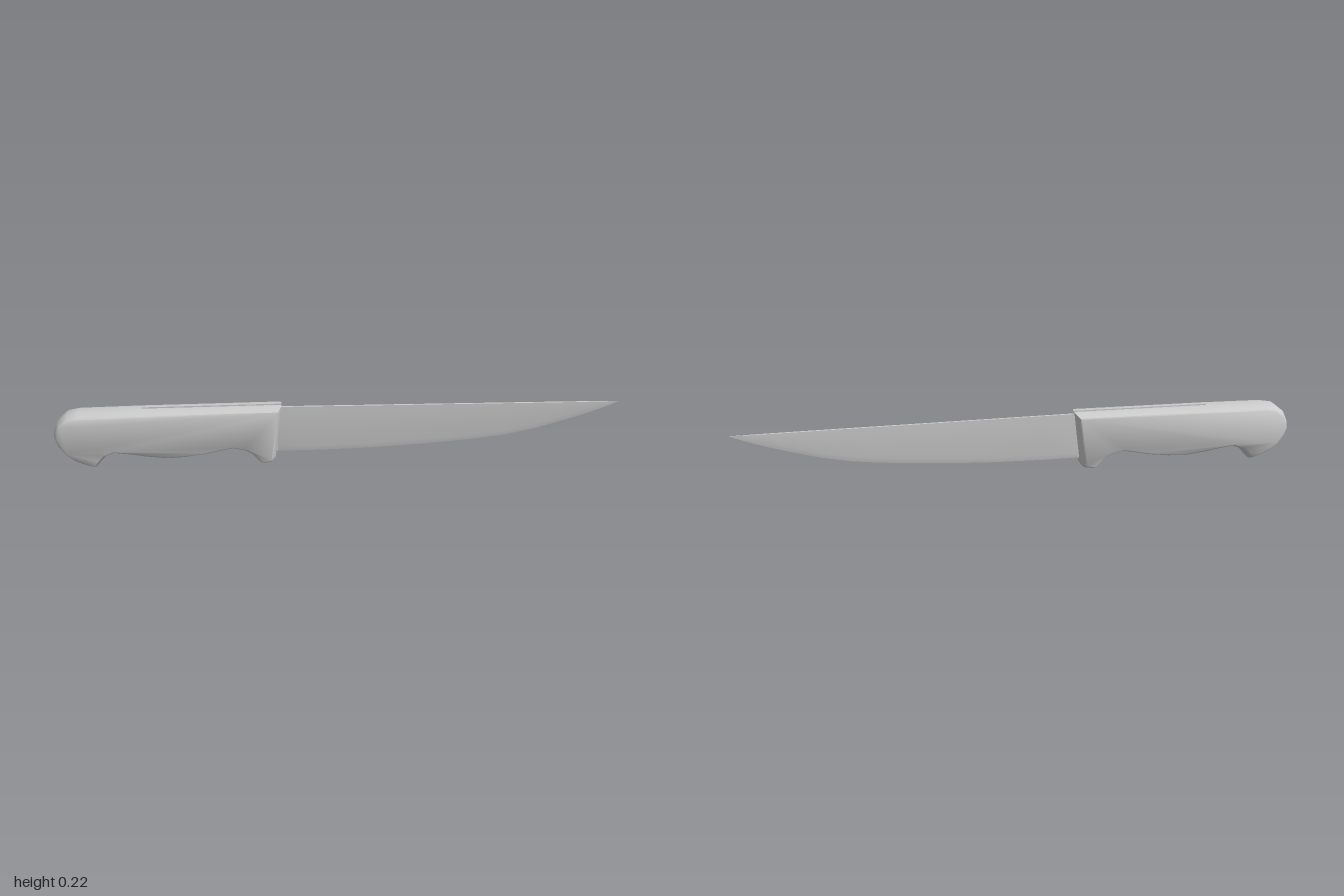
import * as THREE from 'three';
import { toCreasedNormals } from 'three/addons/utils/BufferGeometryUtils.js';

const SLOT = 0.006; // half width of the tang slot

// Handle outline, counter-clockwise from the top front corner
const OUTLINE = [
  [-0.2, 0.219], [-0.69, 0.213], [-0.91, 0.208], [-0.95, 0.201], [-0.983, 0.175], [-0.996, 0.148],
  [-1, 0.12], [-0.99, 0.09], [-0.965, 0.056], [-0.935, 0.031], [-0.9, 0.014], [-0.858, 0.002],
  [-0.838, 0.026], [-0.82, 0.044], [-0.79, 0.056], [-0.74, 0.05], [-0.68, 0.04], [-0.6, 0.032],
  [-0.54, 0.036], [-0.47, 0.046], [-0.375, 0.066], [-0.335, 0.058], [-0.31, 0.045],
  [-0.288, 0.02], [-0.272, 0.006], [-0.235, 0.012], [-0.224, 0.022], [-0.221, 0.04],
].map(([x, y]) => new THREE.Vector2(x, y));

// Move every corner of a closed outline inward by d
function inset(points, d) {
  const n = points.length;
  return points.map((p, i) => {
    const a = p.clone().sub(points[(i + n - 1) % n]).normalize();
    const b = points[(i + 1) % n].clone().sub(p).normalize();
    const na = new THREE.Vector2(-a.y, a.x);
    const m = na.clone().add(new THREE.Vector2(-b.y, b.x)).normalize();
    return p.clone().addScaledVector(m, d / Math.max(0.7, m.dot(na)));
  });
}

function triangleGeometry(positions) {
  const g = new THREE.BufferGeometry();
  g.setAttribute('position', new THREE.Float32BufferAttribute(positions, 3));
  g.computeVertexNormals();
  return g;
}

// One grip half: stacked outlines with a softened outer edge; side is +1 or -1
function gripHalf(side) {
  const layers = [[SLOT, 0], [0.02, 0], [0.045, 0.007], [0.054, 0.011], [0.057, 0.015]];
  const rings = layers.map(([z, d]) => inset(OUTLINE, d).map((p) => [p.x, p.y, z * side]));
  const out = [];
  const tri = (a, b, c) => out.push(...a, ...(side > 0 ? b : c), ...(side > 0 ? c : b));
  const n = OUTLINE.length;
  for (let r = 0; r < rings.length - 1; r++) {
    const lo = rings[r], hi = rings[r + 1];
    for (let i = 0; i < n; i++) {
      const j = (i + 1) % n;
      tri(lo[i], lo[j], hi[j]);
      tri(lo[i], hi[j], hi[i]);
    }
  }
  // outer face and inner slot wall
  const last = rings[rings.length - 1];
  for (const [a, b, c] of THREE.ShapeUtils.triangulateShape(OUTLINE, [])) {
    tri(last[a], last[b], last[c]);
    tri(rings[0][a], rings[0][c], rings[0][b]);
  }
  return toCreasedNormals(triangleGeometry(out), 0.7);
}

// Middle layer of the handle, notched to receive the tang
function gripCore() {
  const notch = [[-0.26, 0.08], [-0.4, 0.1], [-0.69, 0.14]].map(([x, y]) => new THREE.Vector2(x, y));
  const shape = new THREE.Shape([...OUTLINE.slice(1), ...notch]);
  const g = new THREE.ExtrudeGeometry(shape, { depth: SLOT * 2, bevelEnabled: false });
  g.translate(0, 0, -SLOT);
  return toCreasedNormals(g, 0.7);
}

// Loft of sections [x, bottom, top, grind height, half thickness, half edge thickness]
function bladeGeometry(stations) {
  const sections = stations.map(([x, lo, hi, grind, t, e]) => [
    [x, hi, t], [x, lo + grind, t], [x, lo, e],
    [x, lo, -e], [x, lo + grind, -t], [x, hi, -t],
  ]);
  const out = [];
  for (let s = 0; s < sections.length - 1; s++) {
    const a = sections[s], b = sections[s + 1];
    for (let i = 0; i < 6; i++) {
      const j = (i + 1) % 6;
      out.push(...a[i], ...a[j], ...b[j], ...a[i], ...b[j], ...b[i]);
    }
  }
  // end caps
  const first = sections[0], last = sections[sections.length - 1];
  for (let i = 1; i < 5; i++) {
    out.push(...first[0], ...first[i + 1], ...first[i]);
    out.push(...last[0], ...last[i], ...last[i + 1]);
  }
  return toCreasedNormals(triangleGeometry(out), 0.3);
}

export function createModel() {
  const model = new THREE.Group();
  model.name = 'knife';
  const material = new THREE.MeshStandardMaterial({ color: 0xcccccc });
  const add = (parent, name, geometry) => {
    const mesh = new THREE.Mesh(geometry, material);
    mesh.name = name;
    parent.add(mesh);
  };

  const handle = new THREE.Group();
  handle.name = 'handle';
  model.add(handle);
  add(handle, 'frontGrip', gripHalf(1));
  add(handle, 'backGrip', gripHalf(-1));
  add(handle, 'gripCore', gripCore());

  // Tang seated in the slot
  const T = 0.004;
  add(model, 'tang', bladeGeometry([
    [-0.685, 0.14, 0.208, 0.01, T, T], [-0.4, 0.1, 0.209, 0.01, T, T],
    [-0.26, 0.08, 0.21, 0.01, T, T], [-0.215, 0.041, 0.21, 0.015, T, T],
  ]));

  // Blade: straight spine, curved ground edge, thinning to the tip
  const edge = [
    [-0.215, 0.041], [-0.1, 0.042], [0, 0.044], [0.1, 0.047], [0.2, 0.052], [0.3, 0.059],
    [0.4, 0.067], [0.5, 0.076], [0.6, 0.089], [0.7, 0.11], [0.8, 0.138],
    [0.88, 0.163], [0.94, 0.184], [0.98, 0.2], [1, 0.209],
  ];
  add(model, 'blade', bladeGeometry(edge.map(([x, y]) => {
    const height = 0.21 - y;
    const t = T * Math.min(1, 0.1 + height / 0.06);
    return [x, y, 0.21, Math.min(0.018, height * 0.4), t, 0.0003];
  })));

  return model;
}
